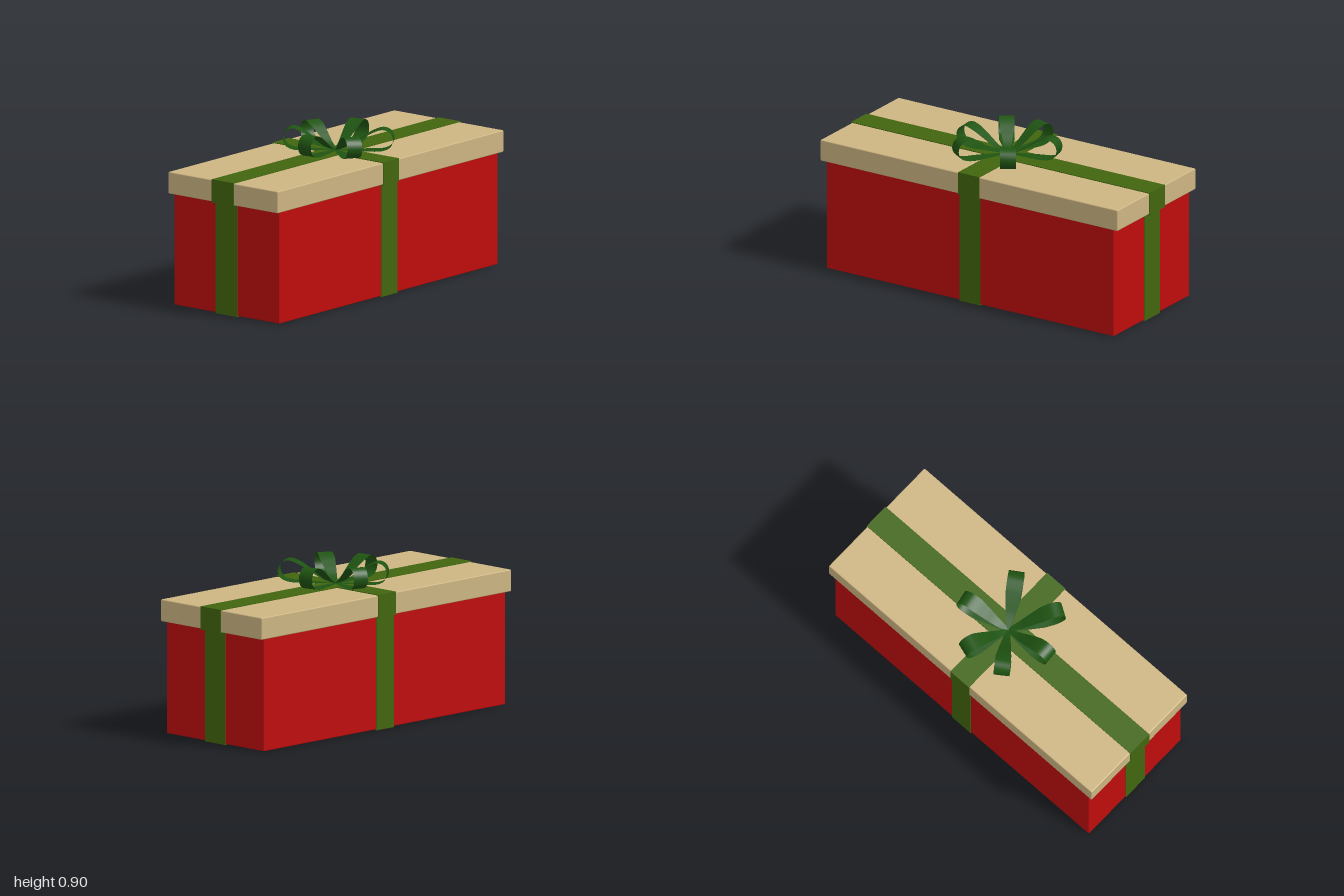
import * as THREE from 'three';
import { RoundedBoxGeometry } from 'three/addons/geometries/RoundedBoxGeometry.js';

const material = (name, color, side = THREE.FrontSide) =>
  Object.assign(new THREE.MeshStandardMaterial({ color, side }), { name });

// Teardrop profile of one bow loop: distance from the knot, height
const LOOP = [
  [0.005, 0.778], [0.07, 0.803], [0.14, 0.85], [0.2, 0.888], [0.25, 0.904],
  [0.288, 0.888], [0.305, 0.848], [0.29, 0.805], [0.25, 0.784], [0.14, 0.779], [0.005, 0.777],
];

// Ribbon strip swept along the loop profile, narrowing towards the knot
function loopGeometry(reach) {
  const curve = new THREE.CatmullRomCurve3(
    LOOP.map(([r, y]) => new THREE.Vector3(r * reach, y, 0)));
  const steps = 48;
  const geometry = new THREE.PlaneGeometry(1, 1, 1, steps);
  const position = geometry.attributes.position;
  for (let i = 0; i <= steps; i++) {
    const p = curve.getPointAt(i / steps);
    const half = 0.008 + 0.036 * Math.min(1, p.x / 0.2) ** 0.8;
    position.setXYZ(i * 2, p.x, p.y, -half);
    position.setXYZ(i * 2 + 1, p.x, p.y, half);
  }
  geometry.computeVertexNormals();
  return geometry;
}

export function createModel() {
  const model = new THREE.Group();
  model.name = 'giftBox';
  const red = material('red card', 0xbf0d0d);
  const tan = material('tan lid', 0xcdb582);
  const green = material('green ribbon', 0x41660e);
  const bowGreen = material('dark green bow', 0x1f5412, THREE.DoubleSide);

  // Adds a box between two heights, centred on the y axis
  const addBox = (name, mat, width, depth, bottom, top, radius = 0) => {
    const height = top - bottom;
    const geometry = radius
      ? new RoundedBoxGeometry(width, height, depth, 2, radius)
      : new THREE.BoxGeometry(width, height, depth);
    const mesh = new THREE.Mesh(geometry, mat);
    mesh.name = name;
    mesh.position.y = (bottom + top) / 2;
    model.add(mesh);
  };

  // Box and overhanging lid
  addBox('boxBody', red, 1.926, 0.762, 0.004, 0.66, 0.006);
  addBox('lid', tan, 1.992, 0.79, 0.644, 0.769, 0.006);

  // Ribbons wrapped around the body and the lid, in both directions
  addBox('bodyRibbonLong', green, 1.934, 0.156, 0, 0.65);
  addBox('bodyRibbonCross', green, 0.14, 0.77, 0, 0.65);
  addBox('lidRibbonLong', green, 2.0, 0.156, 0.64, 0.773);
  addBox('lidRibbonCross', green, 0.14, 0.798, 0.64, 0.773);

  // Bow: six loops fanned around the knot, aimed at these x, z tips
  const bow = new THREE.Group();
  bow.name = 'bow';
  const tips = [[0.305, -0.06], [0.085, -0.28], [-0.17, -0.24], [-0.305, 0.022], [-0.17, 0.275], [0.18, 0.27]];
  tips.forEach(([x, z], i) => {
    const loop = new THREE.Mesh(loopGeometry(Math.hypot(x, z) / 0.305), bowGreen);
    loop.name = `bowLoop${i + 1}`;
    loop.rotation.y = Math.atan2(-z, x);
    bow.add(loop);
  });
  model.add(bow);
  return model;
}
